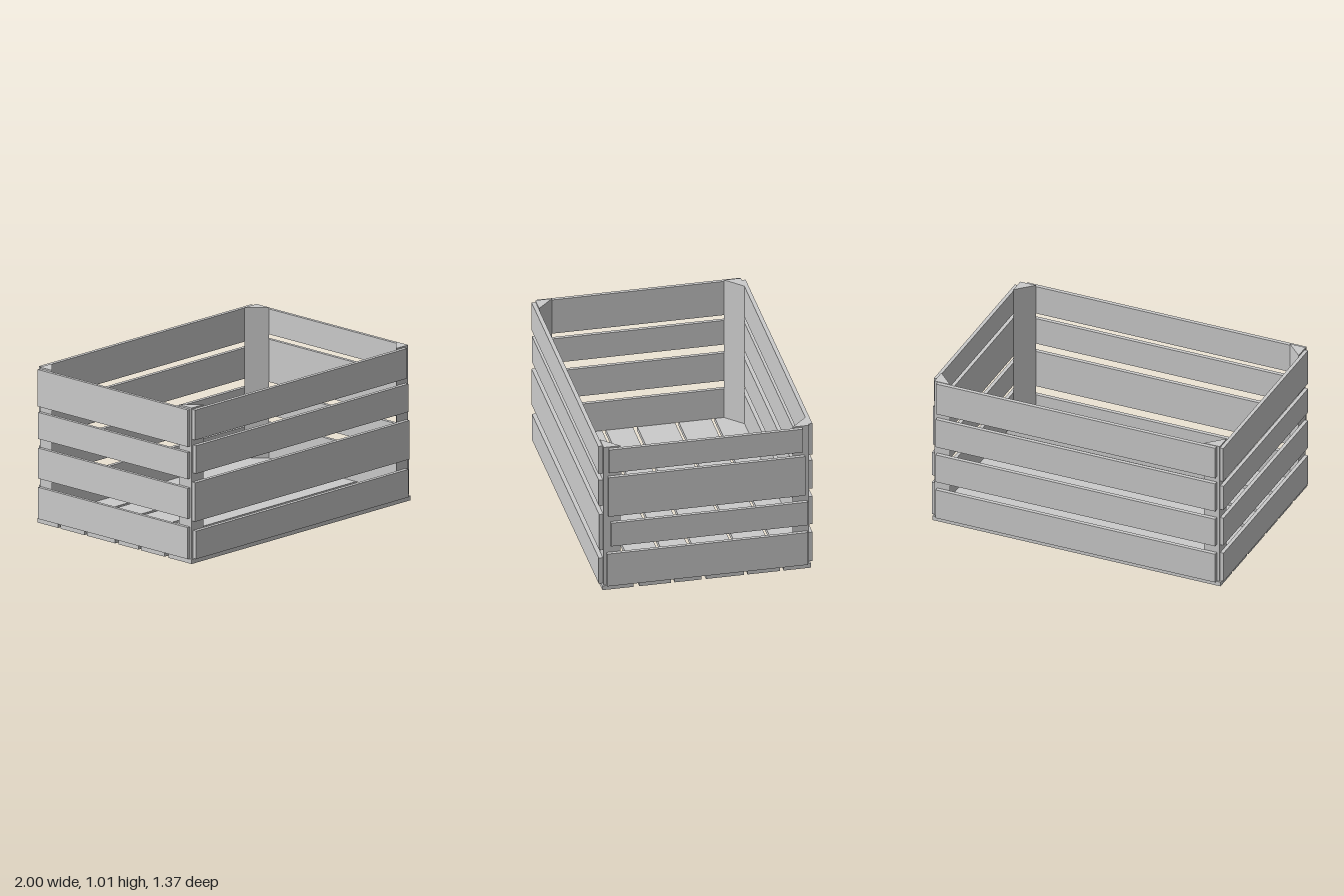
import * as THREE from 'three';

const material = new THREE.MeshStandardMaterial({ color: 0xcccccc, flatShading: true });

// Plank given by its limits along each axis
function plank(parent, name, [x0, x1], [y0, y1], [z0, z1]) {
  const mesh = new THREE.Mesh(new THREE.BoxGeometry(x1 - x0, y1 - y0, z1 - z0), material);
  mesh.name = name;
  mesh.position.set((x0 + x1) / 2, (y0 + y1) / 2, (z0 + z1) / 2);
  parent.add(mesh);
}

function addGroup(parent, name) {
  const group = new THREE.Group();
  group.name = name;
  parent.add(group);
  return group;
}

export function createModel() {
  const crate = new THREE.Group();
  crate.name = 'slattedCrate';
  const IX = 0.975, IZ = 0.657; // inner faces of the walls
  const OX = 0.998, OZ = 0.683; // outer faces of the walls
  const FLOOR = 0.03, TOP = 1.01, LEG = 0.107;

  // Floor boards: z limits
  const floor = addGroup(crate, 'floor');
  [[-0.667, -0.492], [-0.468, -0.261], [-0.237, 0.005], [0.033, 0.205], [0.23, 0.432], [0.467, 0.667]]
    .forEach((z) => plank(floor, 'floorBoard', [-0.985, 0.985], [0, FLOOR], z));

  // Front and back slats: y limits, x limits
  const front = addGroup(crate, 'frontWall');
  [[[0.03, 0.212], [-0.96, 0.95]], [[0.275, 0.528], [-0.97, 0.96]],
    [[0.585, 0.767], [-0.96, 0.95]], [[0.805, 1.0], [-0.97, 0.937]]]
    .forEach(([y, x]) => plank(front, 'frontSlat', x, y, [IZ, OZ]));
  const back = addGroup(crate, 'backWall');
  [[[0.03, 0.235], [-0.955, 0.955]], [[0.293, 0.49], [-0.955, 0.955]],
    [[0.547, 0.748], [-0.955, 0.955]], [[0.788, 1.007], [-0.955, 0.952]]]
    .forEach(([y, x]) => plank(back, 'backSlat', x, y, [-OZ, -IZ]));

  // Side slats: y limits, z limits
  const left = addGroup(crate, 'leftWall');
  [[[0.03, 0.26], [-0.645, 0.64]], [[0.312, 0.477], [-0.645, 0.615]],
    [[0.525, 0.803], [-0.627, 0.63]], [[0.835, 1.0], [-0.612, 0.627]]]
    .forEach(([y, z]) => plank(left, 'leftSlat', [IX, OX], y, z));
  const right = addGroup(crate, 'rightWall');
  [[[0.03, 0.235], [-0.65, 0.645]], [[0.292, 0.49], [-0.65, 0.645]],
    [[0.55, 0.722], [-0.65, 0.645]], [[0.76, 1.0], [-0.655, 0.645]]]
    .forEach(([y, z]) => plank(right, 'rightSlat', [-OX, -IX], y, z));

  // Triangular corner posts, right angle outward
  const posts = addGroup(crate, 'cornerPosts');
  for (const sx of [-1, 1]) {
    for (const sz of [-1, 1]) {
      const shape = new THREE.Shape([
        new THREE.Vector2(sx * IX, -sz * IZ),
        new THREE.Vector2(sx * (IX - LEG), -sz * IZ),
        new THREE.Vector2(sx * IX, -sz * (IZ - LEG)),
      ]);
      const geometry = new THREE.ExtrudeGeometry(shape, { depth: TOP - FLOOR, bevelEnabled: false });
      geometry.rotateX(-Math.PI / 2);
      const post = new THREE.Mesh(geometry, material);
      post.name = 'cornerPost';
      post.position.y = FLOOR;
      posts.add(post);
    }
  }
  return crate;
}
